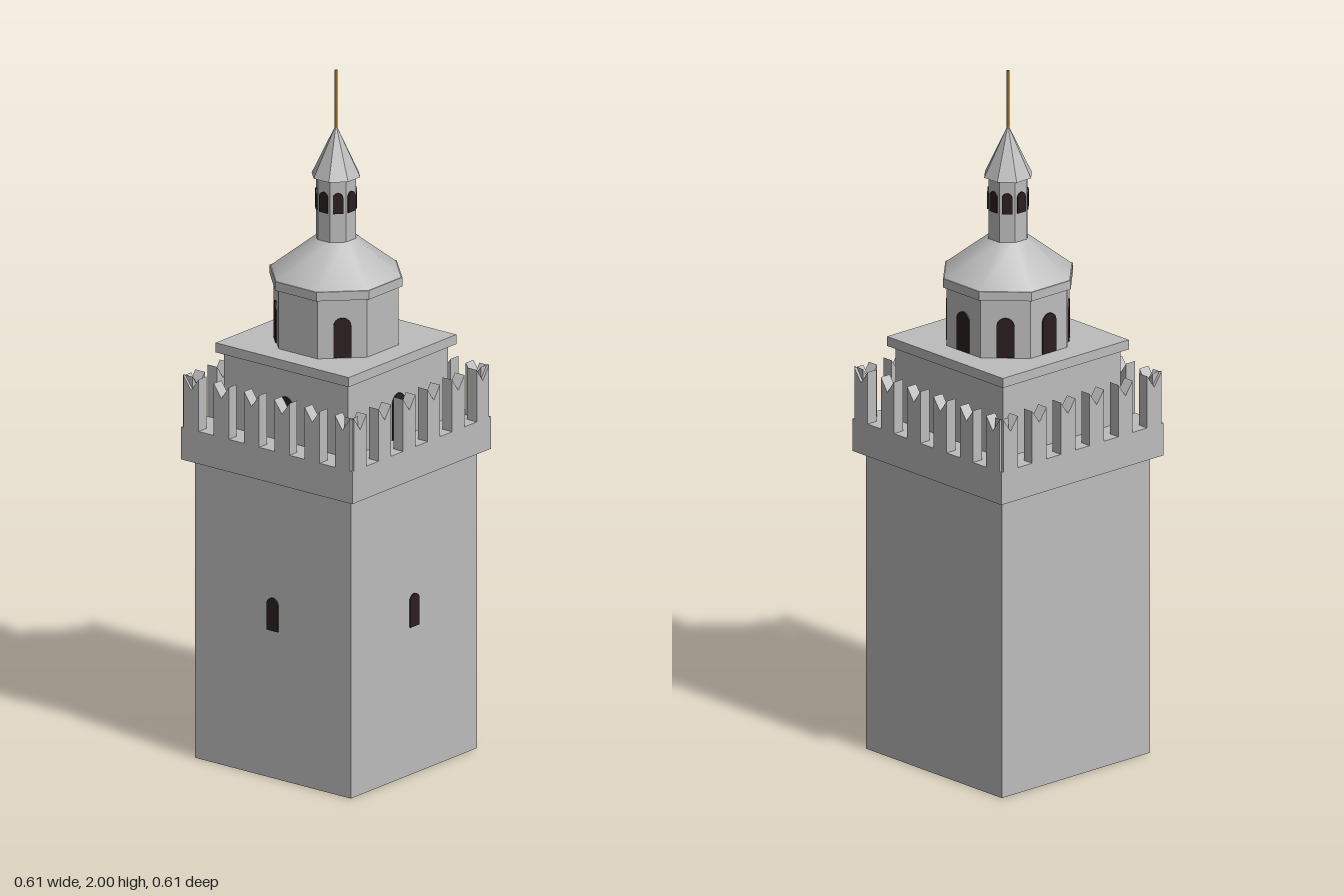
import * as THREE from 'three';

const stone = new THREE.MeshStandardMaterial({ color: 0xbcbcbc, side: THREE.DoubleSide });
stone.name = 'stone';
const dark = new THREE.MeshStandardMaterial({ color: 0x2c1f20 });
dark.name = 'darkOpening';
const gold = new THREE.MeshStandardMaterial({ color: 0xb8892f });
gold.name = 'gold';

export function createModel() {
  const tower = new THREE.Group();
  tower.name = 'tower';

  const add = (name, geometry, material = stone, parent = tower) => {
    const mesh = new THREE.Mesh(geometry, material);
    mesh.name = name;
    parent.add(mesh);
    return mesh;
  };

  // Square block between two heights, given its half width
  const block = (name, half, y0, y1) =>
    add(name, new THREE.BoxGeometry(half * 2, y1 - y0, half * 2).translate(0, (y0 + y1) / 2, 0));

  // Prism or frustum with flat sides facing the axes; sizes are centre-to-side distances
  const prism = (name, sides, top, bottom, y0, y1, { open = false, smooth = false } = {}) => {
    const k = 1 / Math.cos(Math.PI / sides);
    let g = new THREE.CylinderGeometry(top * k, bottom * k, y1 - y0, sides, 1, open);
    g.rotateY(Math.PI / sides).translate(0, (y0 + y1) / 2, 0);
    if (!smooth) {
      g = g.toNonIndexed();
      g.computeVertexNormals();
    }
    return add(name, g);
  };

  // Thin arched plate on a wall at a given compass angle (0 = front, 90 = +x)
  const opening = (name, degrees, distance, y0, width, height) => {
    const r = width / 2;
    const s = new THREE.Shape();
    s.moveTo(-r, 0);
    s.lineTo(r, 0);
    s.lineTo(r, height - r);
    s.absarc(0, height - r, r, 0, Math.PI, false);
    s.closePath();
    const g = new THREE.ExtrudeGeometry(s, { depth: 0.006, bevelEnabled: false, curveSegments: 8 });
    g.translate(0, y0, distance - 0.002).rotateY(THREE.MathUtils.degToRad(degrees));
    add(name, g, dark);
  };

  // Main shaft, open underneath, and the overhanging parapet deck
  prism('shaft', 4, 0.278, 0.278, 0, 0.875, { open: true });
  block('parapet', 0.305, 0.875, 0.97);

  // Swallow-tailed merlons, six on each side
  const tail = new THREE.Shape([
    [-0.027, 0], [0.027, 0], [0.027, 0.152], [0, 0.114], [-0.027, 0.152],
  ].map(([x, y]) => new THREE.Vector2(x, y)));
  const merlonGeometry = new THREE.ExtrudeGeometry(tail, { depth: 0.034, bevelEnabled: false });
  for (let side = 0; side < 4; side++) {
    const row = new THREE.Group();
    row.name = 'merlonRow';
    row.rotation.y = side * Math.PI / 2;
    for (let i = 0; i < 6; i++) {
      add('merlon', merlonGeometry, stone, row).position.set((i - 2.5) * 0.108, 0.97, 0.271);
    }
    tower.add(row);
  }

  // Square upper storey with its roof slab
  block('upperStorey', 0.221, 0.97, 1.185);
  block('roofSlab', 0.237, 1.185, 1.213);

  // Doors and shaft windows on two neighbouring sides
  for (const angle of [0, 270]) {
    opening('door', angle, 0.221, 0.97, 0.052, 0.132);
    opening('shaftWindow', angle, 0.278, 0.432, 0.04, 0.096);
  }

  // Eight-sided drum, cornice and softly shaded roof
  prism('drum', 8, 0.167, 0.167, 1.213, 1.385);
  prism('cornice', 8, 0.177, 0.177, 1.385, 1.411);
  prism('drumRoof', 8, 0.054, 0.174, 1.411, 1.513, { open: true, smooth: true });
  for (const angle of [45, 90, 135, 180, 225, 315]) {
    opening('drumWindow', angle, 0.167, 1.215, 0.05, 0.116);
  }

  // Lantern with an opening on every side
  prism('lantern', 8, 0.053, 0.053, 1.505, 1.695);
  for (let i = 0; i < 8; i++) opening('lanternWindow', i * 45, 0.053, 1.597, 0.029, 0.06);

  // Pointed cap and finial rod
  prism('lanternCap', 8, 0.001, 0.065, 1.693, 1.838);
  add('finial', new THREE.CylinderGeometry(0.004, 0.004, 0.18, 8).translate(0, 1.91, 0), gold);

  return tower;
}
